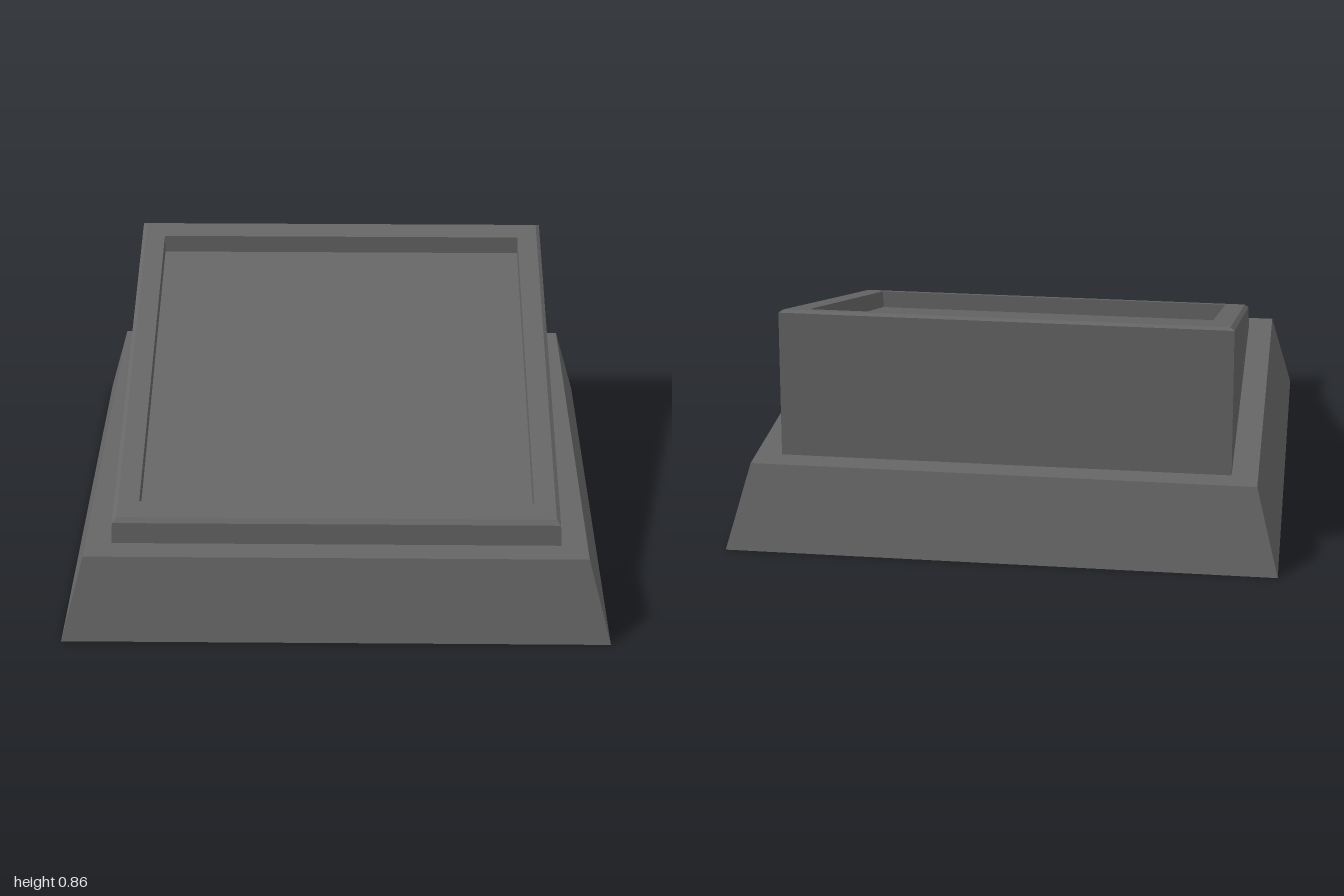
import * as THREE from 'three';

// Height of the sloping top at depth z (low at the front, high at the back)
const slope = (z) => 0.636 - 0.285 * z;
const flat = (y) => () => y;

// Four corners of a square ring, anticlockwise seen from above
const ring = (r, height) =>
  [[-r, r], [r, r], [r, -r], [-r, -r]].map(([x, z]) => [x, height(z), z]);

// Skin a list of square rings with flat faces, optionally capping either end
function loft(rings, capStart, capEnd) {
  const pos = [];
  const quad = (a, b, c, d) => pos.push(...a, ...b, ...c, ...a, ...c, ...d);
  for (let i = 0; i < rings.length - 1; i++) {
    for (let k = 0; k < 4; k++) {
      const n = (k + 1) % 4;
      quad(rings[i][k], rings[i][n], rings[i + 1][n], rings[i + 1][k]);
    }
  }
  if (capStart) quad(...[...rings[0]].reverse());
  if (capEnd) quad(...rings[rings.length - 1]);
  const geo = new THREE.BufferGeometry();
  geo.setAttribute('position', new THREE.Float32BufferAttribute(pos, 3));
  geo.computeVertexNormals();
  return geo;
}

export function createModel() {
  const group = new THREE.Group();
  const grey = new THREE.MeshStandardMaterial({ color: 0x666666 });
  grey.name = 'dark grey';

  const add = (name, geo) => {
    const mesh = new THREE.Mesh(geo, grey);
    mesh.name = name;
    group.add(mesh);
  };

  // Tapered plinth with a flat ledge around the housing
  add('plinth', loft([
    ring(1, flat(0)), ring(0.915, flat(0.31)), ring(0.82, flat(0.31)),
  ], true, false));

  // Wedge housing with a softened rim and the walls of the recess
  add('wedgeHousing', loft([
    ring(0.82, flat(0.31)),
    ring(0.815, (z) => slope(z) - 0.012),
    ring(0.8, slope),
    ring(0.722, slope),
    ring(0.722, (z) => slope(z) - 0.07),
  ], false, false));

  // Sunken sloping panel
  add('slopedPanel', loft([ring(0.722, (z) => slope(z) - 0.07)], false, true));

  return group;
}
